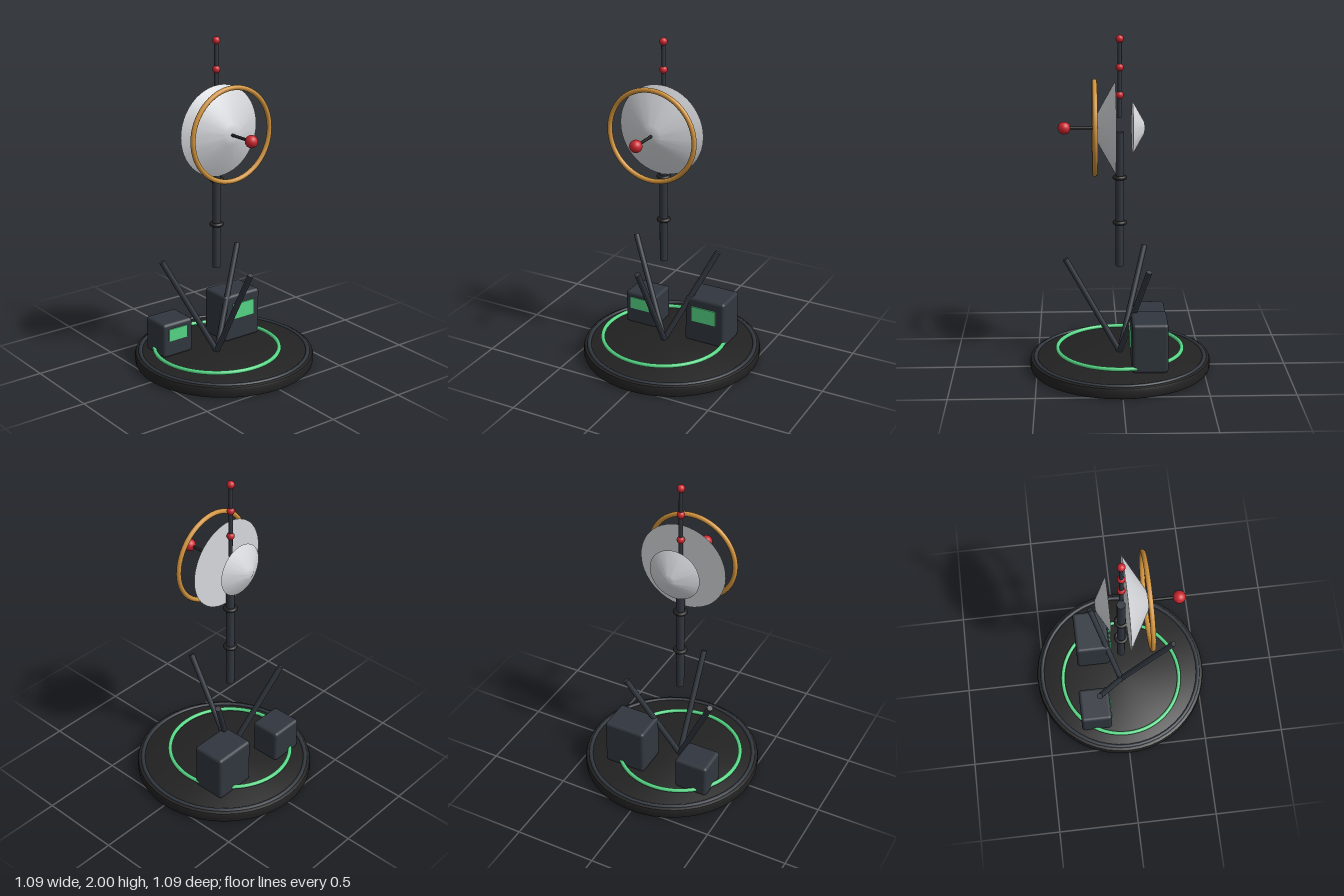
import * as THREE from 'three';
import { toCreasedNormals } from 'three/addons/utils/BufferGeometryUtils.js';
import { RoundedBoxGeometry } from 'three/addons/geometries/RoundedBoxGeometry.js';

const AXIS = -0.055; // x of the mast
const DISH_Y = 1.457;

export function createModel() {
  const model = new THREE.Group();
  model.name = 'antennaStation';

  const material = (name, color) => {
    const m = new THREE.MeshStandardMaterial({ color });
    m.name = name;
    return m;
  };
  const black = material('black', 0x222222);
  const slate = material('slate', 0x31373f);
  const green = material('green', 0x55d685);
  const gold = material('gold', 0xd0923c);
  const red = material('red', 0xcc2630);
  const white = material('dishWhite', 0xd6d8dc);

  const add = (name, geometry, mat, x = 0, y = 0, z = 0) => {
    const mesh = new THREE.Mesh(geometry, mat);
    mesh.name = name;
    mesh.position.set(x, y, z);
    model.add(mesh);
    return mesh;
  };

  // Round rod between two points
  const rod = (name, a, b, radius, mat) => {
    const from = new THREE.Vector3(...a), to = new THREE.Vector3(...b);
    const dir = to.clone().sub(from);
    const mesh = add(name, new THREE.CylinderGeometry(radius, radius, dir.length(), 16), mat);
    mesh.position.copy(from).add(to).multiplyScalar(0.5);
    mesh.quaternion.setFromUnitVectors(new THREE.Vector3(0, 1, 0), dir.normalize());
  };

  // Horizontal ring
  const ring = (name, radius, tube, mat, x, y, segments = 48) => {
    add(name, new THREE.TorusGeometry(radius, tube, 10, segments), mat, x, y, 0).rotation.x = Math.PI / 2;
  };

  // Bevelled base plate with its rim and light ring
  const baseProfile = [[0, 0], [0.528, 0], [0.539, 0.005], [0.543, 0.016], [0.543, 0.054],
    [0.539, 0.066], [0.528, 0.071], [0, 0.071]].map(p => new THREE.Vector2(...p));
  add('basePlate', toCreasedNormals(new THREE.LatheGeometry(baseProfile, 48), 0.7), black);
  ring('baseRim', 0.51, 0.013, slate, 0, 0.068);
  ring('lightRing', 0.378, 0.0125, green, AXIS, 0.1, 64);

  // Tripod legs spread from the foot of the mast
  for (let i = 0; i < 3; i++) {
    const a = i * Math.PI * 2 / 3;
    rod('tripodLeg', [AXIS, 0.07, 0],
      [AXIS + Math.sin(a) * 0.325, 0.66, Math.cos(a) * 0.325], 0.0175, slate);
  }

  // Equipment cabinets with thin screens
  const cabinet = (x, z, w, h, d, screen) => {
    add('cabinet', new RoundedBoxGeometry(w, h, d, 3, 0.02), slate, x, 0.07 + h / 2, z);
    add('screen', new THREE.BoxGeometry(screen.w, screen.h, 0.008), green, screen.x, screen.y, screen.z);
  };
  cabinet(-0.272, -0.19, 0.213, 0.215, 0.193, { x: -0.277, y: 0.2125, z: -0.092, w: 0.13, h: 0.076 });
  cabinet(0.19, -0.166, 0.268, 0.3, 0.212, { x: 0.188, y: 0.265, z: -0.05, w: 0.164, h: 0.1 });

  // Mast, collars and whip antenna with beacons
  rod('mast', [AXIS, 0.617, 0], [AXIS, 1.432, 0], 0.025, slate);
  for (const y of [0.885, 1.16]) ring('mastCollar', 0.031, 0.012, black, AXIS, y, 24);
  rod('whipAntenna', [AXIS, 1.517, 0], [AXIS, 1.98, 0], 0.012, slate);
  for (const y of [1.65, 1.812, 1.977]) {
    add('beacon', new THREE.SphereGeometry(0.023, 20, 14), red, AXIS, y, 0);
  }

  // Conical dish with a blunt tip and a flat closed back
  const dish = (name, z, radius, depth, facing) => {
    const shape = [[0, 0], [1, 0], [0.22, 0.94], [0.12, 0.985], [0, 1]]
      .map(([r, h]) => new THREE.Vector2(r * radius, h * depth));
    const geometry = toCreasedNormals(new THREE.LatheGeometry(shape, 48), 0.35);
    add(name, geometry, white, AXIS, DISH_Y, z).rotation.x = facing * Math.PI / 2;
  };
  dish('mainDish', 0.027, 0.271, 0.125, 1);
  dish('rearDish', -0.074, 0.158, 0.074, -1);

  // Ring and feed in front of the main dish
  add('dishRing', new THREE.TorusGeometry(0.273, 0.0145, 12, 64), gold, AXIS, DISH_Y, 0.147);
  rod('feedStrut', [AXIS, DISH_Y, 0.14], [AXIS, DISH_Y, 0.32], 0.009, black);
  add('feedBall', new THREE.SphereGeometry(0.037, 24, 16), red, AXIS, DISH_Y, 0.325);

  return model;
}
